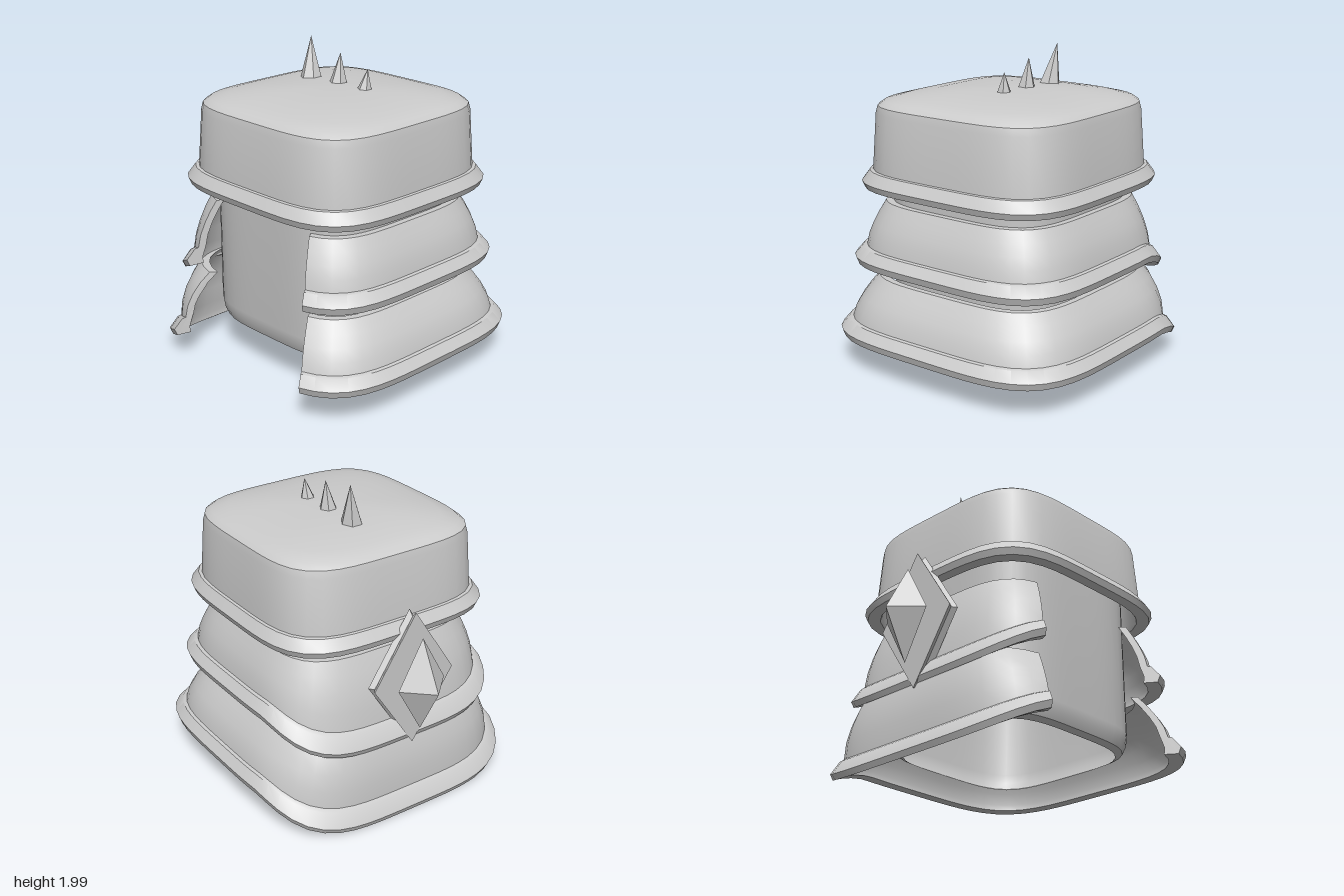
import * as THREE from 'three';
import { toCreasedNormals } from 'three/addons/utils/BufferGeometryUtils.js';

const CX = 0.07, CZ = 0.025; // axis of the stacked body

// Radius of a unit rounded square in the direction a (0 = front, +x next)
function squareRadius(a) {
  const n = 4.2;
  return (Math.abs(Math.sin(a)) ** n + Math.abs(Math.cos(a)) ** n) ** (-1 / n);
}

// Sweeps a profile of [half width, height] points round the rounded square
function sweep(profile, { a0 = 0, a1 = Math.PI * 2, segs = 56, warp = null, ends = false } = {}) {
  const pos = [];
  const point = (i, j) => {
    const [h, y] = profile[i];
    const a = a0 + (a1 - a0) * j / segs;
    const r = h * squareRadius(a);
    const p = new THREE.Vector3(Math.sin(a) * r, y, Math.cos(a) * r);
    if (warp) warp(p);
    return p.add(new THREE.Vector3(CX, 0, CZ));
  };
  const tri = (...pts) => pts.forEach(p => pos.push(p.x, p.y, p.z));
  for (let i = 0; i < profile.length - 1; i++) {
    for (let j = 0; j < segs; j++) {
      const a = point(i, j), b = point(i + 1, j), c = point(i + 1, j + 1), d = point(i, j + 1);
      if (profile[i + 1][0] > 0) tri(a, b, c);
      if (profile[i][0] > 0) tri(a, c, d);
    }
  }
  if (ends) {
    // Flat end faces of an open band
    const flat = profile.slice(0, -1).map(p => new THREE.Vector2(...p));
    for (const [a, b, c] of THREE.ShapeUtils.triangulateShape(flat, [])) {
      tri(point(a, 0), point(b, 0), point(c, 0));
      tri(point(a, segs), point(c, segs), point(b, segs));
    }
  }
  const g = new THREE.BufferGeometry();
  g.setAttribute('position', new THREE.Float32BufferAttribute(pos, 3));
  return toCreasedNormals(g, 0.65);
}

// Joins four-cornered diamond sections [x, half height, half depth] along x
function diamondLoft(sections, cy, cz) {
  const pos = [];
  const corner = ([x, h, d], k) => {
    const a = k * Math.PI / 2;
    return [x, cy + h * Math.cos(a), cz + d * Math.sin(a)];
  };
  for (let i = 0; i < sections.length - 1; i++) {
    for (let k = 0; k < 4; k++) {
      const a = corner(sections[i], k), b = corner(sections[i + 1], k);
      const c = corner(sections[i + 1], k + 1), d = corner(sections[i], k + 1);
      if (sections[i + 1][1] > 0) pos.push(...a, ...c, ...b);
      if (sections[i][1] > 0) pos.push(...a, ...d, ...c);
    }
  }
  const g = new THREE.BufferGeometry();
  g.setAttribute('position', new THREE.Float32BufferAttribute(pos, 3));
  g.computeVertexNormals();
  return g;
}

// Open band whose lower edge droops on the right-hand (-x) side
function bandGeometry(top, bottom, halfTop, halfLip, flare) {
  const lipTop = bottom + 0.11;
  const wall = halfLip - 0.065;
  const at = (t, off) => [
    halfTop + (wall - halfTop) * (1 - (1 - t) ** 1.5) + off,
    top + (lipTop - top) * t,
  ];
  const ts = [0, 0.25, 0.5, 0.75, 1];
  const profile = [
    ...ts.map(t => at(t, 0)),
    [wall + 0.02, lipTop - 0.005],
    [halfLip, bottom + 0.045], [halfLip - 0.015, bottom],
    [wall - 0.025, bottom], [wall - 0.02, bottom + 0.04],
    ...[...ts].reverse().map(t => at(t, -0.04)),
    at(0, 0),
  ];
  const warp = p => {
    const u = Math.max(0, (-p.x / halfLip - 0.45) / 0.55);
    const w = Math.min(1, (top - p.y) / (top - lipTop));
    p.x -= flare * Math.min(1, u * 2) * (1 - w);
    p.y -= 0.205 * u ** 1.6 * w;
  };
  return sweep(profile, { a0: 0.59, a1: Math.PI * 2 - 0.59, warp, ends: true });
}

export function createModel() {
  const model = new THREE.Group();
  const grey = new THREE.MeshStandardMaterial({ color: 0xcccccc, side: THREE.DoubleSide });
  grey.name = 'plain grey';
  const add = (name, geometry) => {
    const mesh = new THREE.Mesh(geometry, grey);
    mesh.name = name;
    model.add(mesh);
    return mesh;
  };

  // Hollow core, open below with a rounded lower rim
  add('core', sweep([
    [0.605, 1.5], [0.605, 0.38], [0.597, 0.32], [0.577, 0.27], [0.54, 0.25],
  ]));

  // Domed cap with a bulging lip and a hollow underside
  add('cap', sweep([
    [0, 1.762], [0.2, 1.758], [0.4, 1.742], [0.55, 1.718], [0.64, 1.694], [0.675, 1.665],
    [0.685, 1.62], [0.707, 1.27], [0.725, 1.267], [0.767, 1.2], [0.752, 1.16],
    [0.685, 1.16], [0.675, 1.2], [0.65, 1.6], [0, 1.65],
  ]));

  // Two overlapping armour bands, open at the front
  add('upperBand', bandGeometry(1.07, 0.68, 0.645, 0.815, 0));
  add('lowerBand', bandGeometry(0.59, 0.21, 0.69, 0.9, 0.07));

  // Row of leaning spikes on top: x, radius, tip x, tip y, tip z
  [
    [-0.23, 0.07, -0.265, 2.0, -0.09],
    [0.01, 0.06, 0.01, 1.94, -0.075],
    [0.232, 0.05, 0.247, 1.88, -0.07],
  ].forEach(([x, radius, tipX, tipY, tipZ], i) => {
    const base = 1.74, height = tipY - base;
    const g = new THREE.ConeGeometry(radius, height, 6);
    g.translate(0, height / 2, 0);
    const p = g.attributes.position;
    for (let k = 0; k < p.count; k++) {
      const t = p.getY(k) / height;
      p.setX(k, p.getX(k) + (tipX - x) * t);
      p.setZ(k, p.getZ(k) + (tipZ + 0.055) * t);
    }
    const flat = g.toNonIndexed();
    flat.computeVertexNormals();
    add('spike' + (i + 1), flat).position.set(x, base, -0.055);
  });

  // Grooved diamond plate and the pointed stud in front of it
  add('diamondPlate', diamondLoft([
    [-0.745, 0, 0], [-0.745, 0.44, 0.29], [-0.735, 0.435, 0.287], [-0.712, 0.405, 0.267],
    [-0.68, 0.44, 0.29], [-0.68, 0, 0],
  ], 0.895, 0.04));
  add('diamondStud', diamondLoft([
    [-0.975, 0, 0], [-0.815, 0.305, 0.17], [-0.76, 0, 0],
  ], 0.895, 0.04));

  return model;
}
